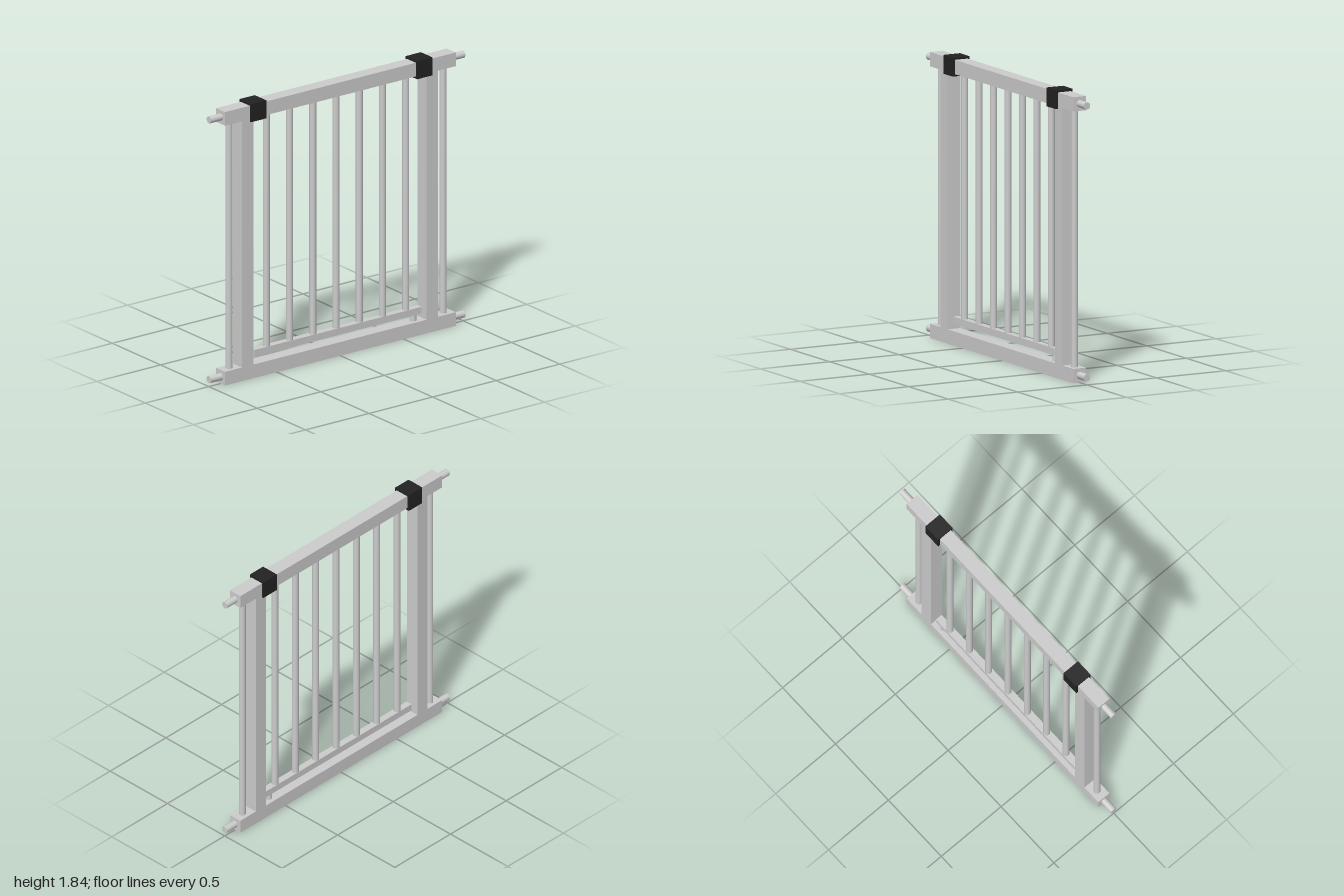
import * as THREE from 'three';

export function createModel() {
  const gate = new THREE.Group();
  gate.name = 'safetyGate';
  const grey = new THREE.MeshStandardMaterial({ color: 0xcccccc });
  const black = new THREE.MeshStandardMaterial({ color: 0x222222 });

  const add = (name, geometry, x, y, material = grey) => {
    const mesh = new THREE.Mesh(geometry, material);
    mesh.name = name;
    mesh.position.set(x, y, 0);
    gate.add(mesh);
    return mesh;
  };
  // Box given by its x and y extents and its depth
  const box = (name, x0, x1, y0, y1, depth, material) =>
    add(name, new THREE.BoxGeometry(x1 - x0, y1 - y0, depth), (x0 + x1) / 2, (y0 + y1) / 2, material);
  // Upright round bar
  const bar = (name, x, y0, y1, r = 0.022) =>
    add(name, new THREE.CylinderGeometry(r, r, y1 - y0, 32), x, (y0 + y1) / 2);

  // Outer frame
  box('bottomRail', -0.907, 0.907, 0, 0.091, 0.092);
  box('topRail', -0.907, 0.907, 1.73, 1.821, 0.092);
  box('rightPost', -0.775, -0.684, 0.091, 1.73, 0.092);
  box('leftPost', 0.677, 0.767, 0.091, 1.73, 0.092);

  // Bars of the gate panel and its lower rail
  box('panelLowerRail', -0.657, 0.657, 0.13, 0.175, 0.045);
  for (let i = -3; i <= 3; i++) bar('panelBar', i * 0.1828, 0.175, 1.73);
  bar('hingePin', 0.605, 0.091, 0.13);

  for (const side of [-1, 1]) {
    // Outer bar beside each post
    bar('sideBar', side * 0.842, 0.091, 1.73);
    // Black clamp around the top rail
    const cx = side * 0.653;
    box('clamp', cx - 0.06, cx + 0.06, 1.715, 1.835, 0.12, black);
    // Wall pins at both rails
    for (const y of [0.046, 1.776]) {
      const pin = add('wallPin', new THREE.CylinderGeometry(0.023, 0.023, 0.093, 32), side * 0.9535, y);
      pin.rotation.z = Math.PI / 2;
    }
  }
  return gate;
}
